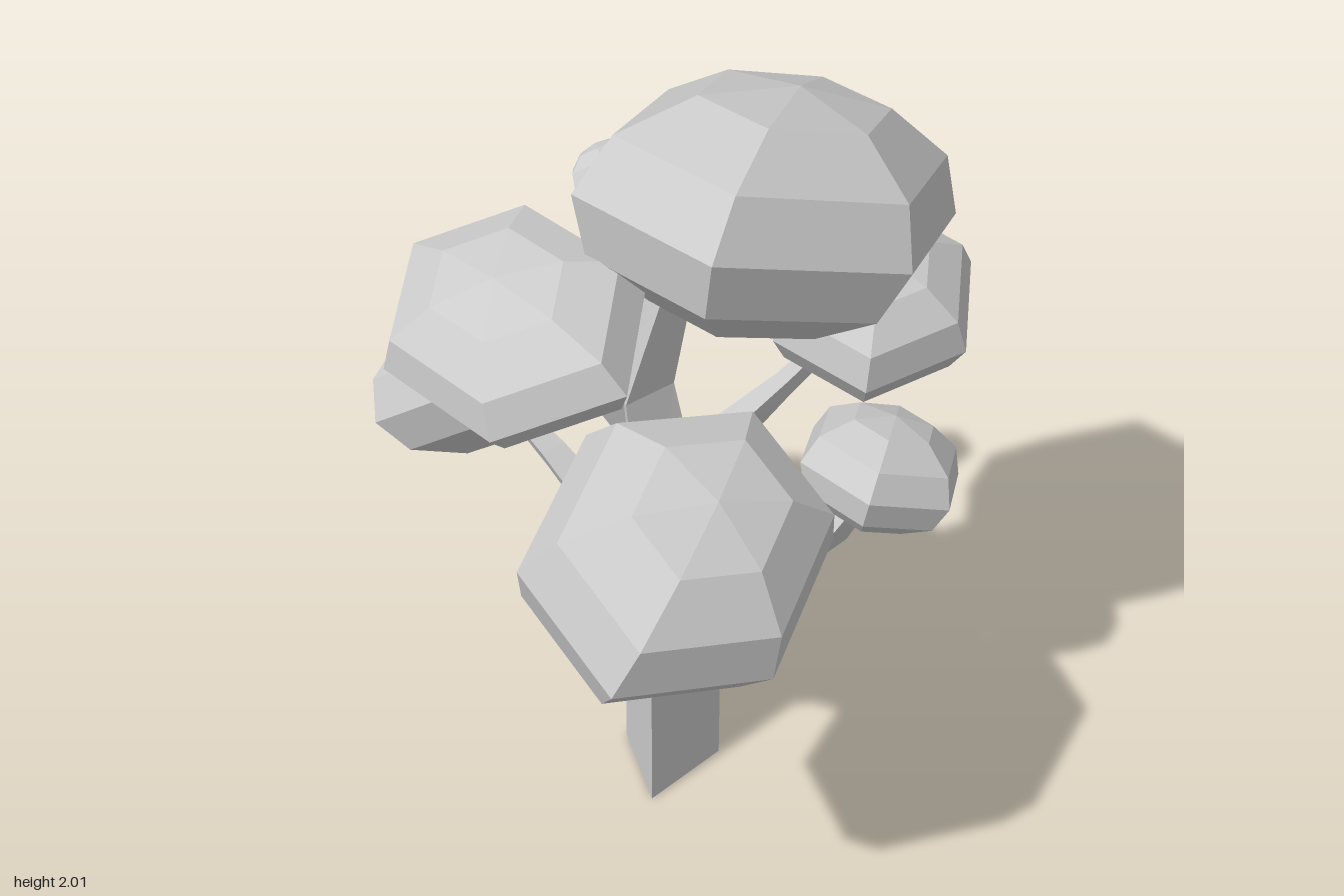
import * as THREE from 'three';

const material = new THREE.MeshStandardMaterial({ color: 0xcccccc, flatShading: true });
const vec = (p) => new THREE.Vector3(...p);

function addMesh(group, geometry, name) {
  const flat = geometry.index ? geometry.toNonIndexed() : geometry;
  flat.computeVertexNormals();
  const mesh = new THREE.Mesh(flat, material);
  mesh.name = name;
  group.add(mesh);
}

// Three-sided tapering limb; each point is [x, y, z, radius]
function limbGeometry(points) {
  const centres = points.map(([x, y, z]) => new THREE.Vector3(x, y, z));
  const last = points.length - 1;
  const up = new THREE.Vector3(0, 1, 0);
  const positions = [];
  const index = [];
  points.forEach((p, i) => {
    const from = centres[Math.max(i - 1, 0)];
    const to = centres[Math.min(i + 1, last)];
    const turn = new THREE.Quaternion().setFromUnitVectors(up, to.clone().sub(from).normalize());
    for (let j = 0; j < 3; j++) {
      const angle = -Math.PI / 2 + (j * Math.PI * 2) / 3;
      const v = new THREE.Vector3(Math.cos(angle) * p[3], 0, Math.sin(angle) * p[3]);
      positions.push(...v.applyQuaternion(turn).add(centres[i]).toArray());
    }
  });
  for (let i = 0; i < last; i++) {
    for (let j = 0; j < 3; j++) {
      const a = i * 3 + j;
      const b = i * 3 + ((j + 1) % 3);
      index.push(a, a + 3, b, b, a + 3, b + 3);
    }
  }
  index.push(0, 1, 2, last * 3, last * 3 + 2, last * 3 + 1);
  const geometry = new THREE.BufferGeometry();
  geometry.setAttribute('position', new THREE.Float32BufferAttribute(positions, 3));
  geometry.setIndex(index);
  return geometry;
}

// Six-sided squashed ball: centre, pole, and two neighbouring corners of its widest hexagon
function leafGeometry({ centre, pole, front, side }) {
  const x = vec(side);
  const z = vec(front).addScaledVector(x, -0.5).divideScalar(Math.sin(Math.PI / 3));
  const matrix = new THREE.Matrix4().makeBasis(x, vec(pole), z).setPosition(vec(centre));
  return new THREE.SphereGeometry(1, 6, 6).applyMatrix4(matrix);
}

const limbs = {
  trunk: [[-0.085, 0, 0.097, 0.145], [-0.085, 0.3, 0.097, 0.145], [-0.085, 0.6, 0.095, 0.142],
    [-0.06, 1.14, -0.03, 0.095], [0.0, 1.43, 0.02, 0.065], [0.06, 1.6, 0.1, 0.05]],
  frontRightBranch: [[-0.07, 0.64, 0.11, 0.11], [-0.19, 0.8, 0.2, 0.09],
    [-0.32, 0.95, 0.33, 0.06], [-0.45, 1.1, 0.48, 0.045]],
  frontLeftBranch: [[-0.06, 0.49, 0.12, 0.1], [0.08, 0.58, 0.2, 0.09],
    [0.3, 0.69, 0.31, 0.06], [0.38, 0.85, 0.38, 0.04]],
  leftBranch: [[-0.05, 0.85, 0.04, 0.085], [0.08, 0.93, 0.08, 0.065],
    [0.27, 1.08, 0.16, 0.035], [0.46, 1.2, 0.21, 0.025]],
  backBranch: [[-0.08, 0.65, 0.05, 0.07], [-0.07, 0.66, -0.12, 0.06],
    [-0.05, 0.76, -0.35, 0.045], [-0.04, 0.82, -0.52, 0.03]],
  rightBranch: [[-0.06, 1.02, -0.01, 0.08], [-0.2, 1.25, -0.06, 0.055], [-0.4, 1.5, -0.03, 0.03]],
  twig: [[-0.06, 1.13, -0.04, 0.065], [0.0, 1.27, -0.13, 0.045],
    [0.06, 1.4, -0.21, 0.025], [0.13, 1.53, -0.3, 0.015]],
};

const leaves = {
  crown: { centre: [0.13, 1.69, 0.22], pole: [0.09, 0.275, 0], front: [0.02, -0.01, 0.41], side: [0.46, -0.155, 0.18] },
  frontRightLeaves: { centre: [-0.48, 1.18, 0.52], pole: [0, 0.22, 0.12], front: [-0.02, -0.16, 0.31], side: [0.34, -0.06, 0.16] },
  rightLeaves: { centre: [-0.447, 1.52, -0.03], pole: [-0.06, 0.155, 0], front: [-0.036, 0.02, 0.395], side: [0.235, 0.1, 0.19] },
  leftLeaves: { centre: [0.52, 1.23, 0.22], pole: [-0.03, 0.165, 0.04], front: [0.06, -0.06, 0.25], side: [0.29, 0.01, 0.07] },
  frontLeftLeaves: { centre: [0.375, 0.88, 0.39], pole: [0.05, 0.135, 0], front: [0.01, -0.02, 0.215], side: [0.2, -0.08, 0.09] },
  backLeaves: { centre: [-0.035, 0.925, -0.57], pole: [0, 0.155, -0.13], front: [0.035, 0.19, 0.245], side: [0.34, 0.05, 0.08] },
  twigLeaves: { centre: [0.14, 1.54, -0.315], pole: [0, 0.06, -0.05], front: [0.05, 0.05, 0.07], side: [0.11, 0.01, 0.01] },
};

export function createModel() {
  const tree = new THREE.Group();
  tree.name = 'tree';
  for (const [name, points] of Object.entries(limbs)) addMesh(tree, limbGeometry(points), name);
  for (const [name, shape] of Object.entries(leaves)) addMesh(tree, leafGeometry(shape), name);
  return tree;
}
